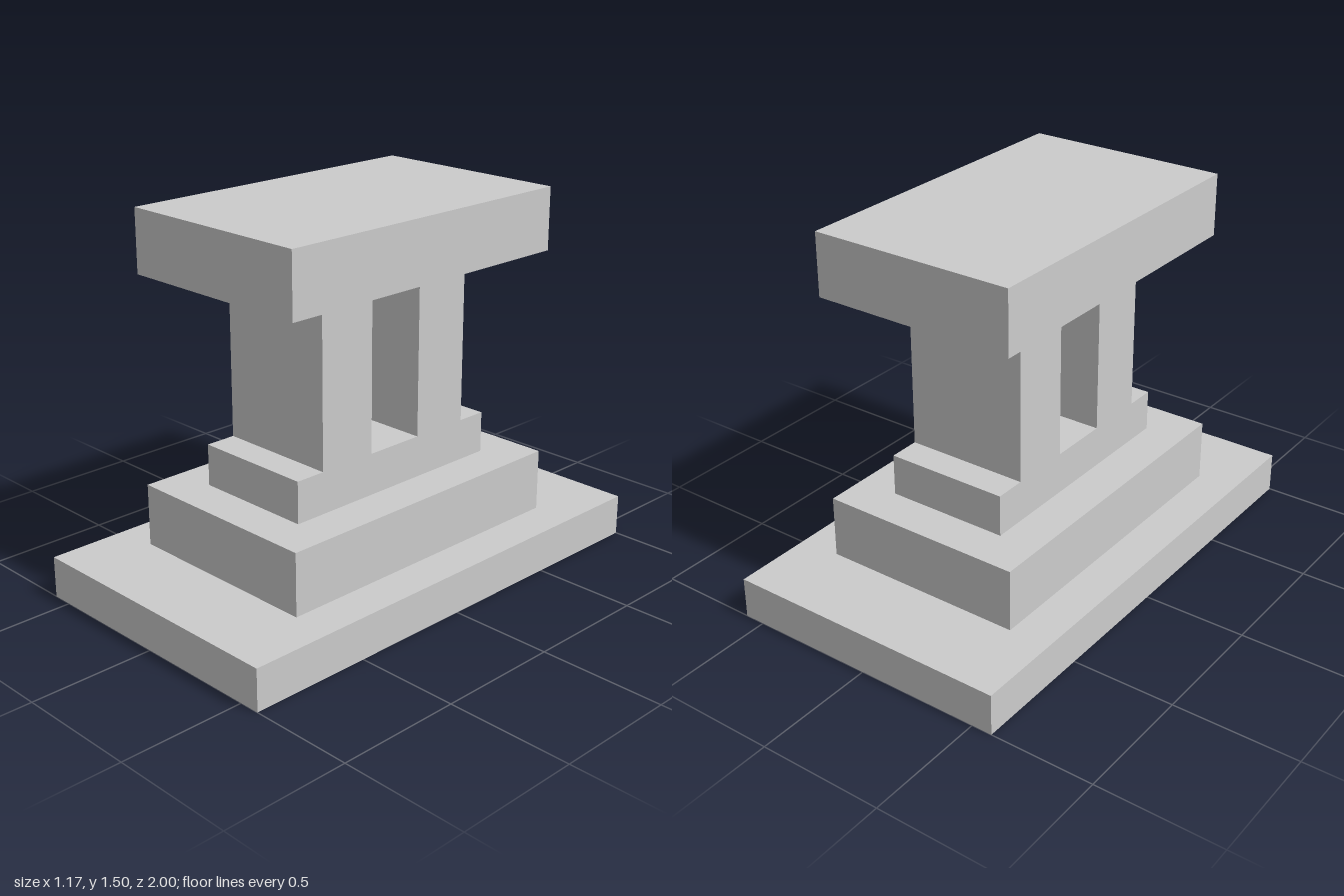
import * as THREE from 'three';

const U = 1 / 12; // the design sits on a twelfth-unit grid

export function createModel() {
  const model = new THREE.Group();
  model.name = 'pedestal';
  const material = new THREE.MeshStandardMaterial({ color: 0xcccccc, flatShading: true });

  // Block given in grid steps: width, depth, bottom and top heights, z centre
  function block(name, width, depth, bottom, top, z = 0) {
    const height = top - bottom;
    const mesh = new THREE.Mesh(new THREE.BoxGeometry(width * U, height * U, depth * U), material);
    mesh.position.set(0, (bottom + height / 2) * U, z * U);
    mesh.name = name;
    model.add(mesh);
  }

  // Stepped foot
  block('basePlinth', 14, 24, 0, 2);
  block('middleStep', 10, 16, 2, 5);
  block('upperStep', 6, 12, 5, 7);

  // Front and back pillars with a gap between them
  block('frontPillar', 6, 3, 7, 15, 3);
  block('backPillar', 6, 3, 7, 15, -3);

  // Top slab
  block('topSlab', 10, 16, 15, 18);

  return model;
}
